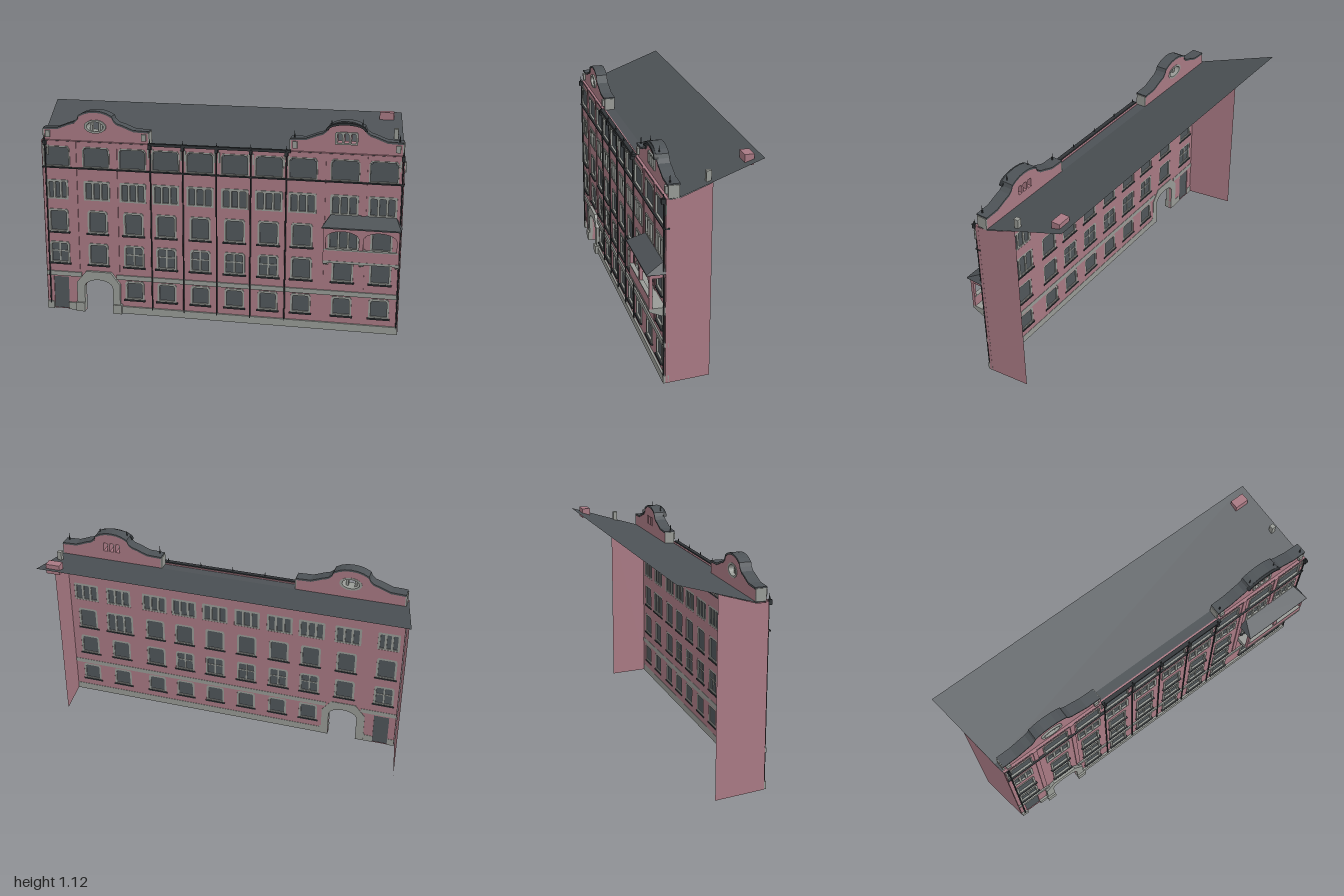
import * as THREE from 'three';
import { ConvexGeometry } from 'three/addons/geometries/ConvexGeometry.js';

const mat = (name, color) => {
  const m = new THREE.MeshStandardMaterial({ color, side: THREE.DoubleSide });
  m.name = name;
  return m;
};

export function createModel() {
  const pink = mat('pink plaster', 0xa87983);
  const grey = mat('grey stone', 0x989b96);
  const glass = mat('dark glass', 0x50565a);
  const slate = mat('slate roof', 0x4d5256);
  const iron = mat('dark iron', 0x303437);

  const model = new THREE.Group();
  model.name = 'townhouse facade';
  const add = (name, geo, material, parent = model) => {
    const m = new THREE.Mesh(geo, material);
    m.name = name;
    parent.add(m);
    return m;
  };
  const box = (name, material, x0, x1, y0, y1, z0, z1, parent) =>
    add(name, new THREE.BoxGeometry(x1 - x0, y1 - y0, z1 - z0)
      .translate((x0 + x1) / 2, (y0 + y1) / 2, (z0 + z1) / 2), material, parent);
  const points = (list) => list.map(([x, y]) => new THREE.Vector2(x, y));
  const slab = (name, material, outline, holes, z0, z1, parent) => {
    const s = new THREE.Shape(points(outline));
    s.holes = holes.map((h) => new THREE.Path(points(h)));
    const g = new THREE.ExtrudeGeometry(s, { depth: z1 - z0, bevelEnabled: false });
    return add(name, g.translate(0, 0, z0), material, parent);
  };
  // Flat polygon in space, drawn as a fan
  const panel = (name, material, pts) => {
    const g = new THREE.BufferGeometry();
    const pos = [];
    for (let i = 1; i < pts.length - 1; i++) pos.push(...pts[0], ...pts[i], ...pts[i + 1]);
    g.setAttribute('position', new THREE.Float32BufferAttribute(pos, 3));
    g.computeVertexNormals();
    return add(name, g, material);
  };
  // Rectangle with cut upper corners
  const opening = (x, w, y0, y1, c) => [
    [x - w / 2, y0], [x + w / 2, y0], [x + w / 2, y1 - c], [x + w / 2 - c * 0.7, y1],
    [x - w / 2 + c * 0.7, y1], [x - w / 2, y1 - c]];
  // Points of a flattened arch, from right to left
  const arch = (cx, cy, rx, ry, n = 12) => Array.from({ length: n + 1 }, (_, i) => {
    const a = (Math.PI * i) / n;
    return [cx + rx * Math.cos(a), cy + ry * Math.sin(a)];
  });
  const oval = (cx, cy, rx, ry, n = 24) => Array.from({ length: n }, (_, i) => {
    const a = (2 * Math.PI * i) / n;
    return [cx + rx * Math.cos(a), cy + ry * Math.sin(a)];
  });

  // Windows: each cuts a hole in the wall and gets a frame, panes and a sill
  const wallHoles = [];
  const addWindow = (x, w, y0, y1, { panes = 1, cross = false, sill = false, f = 0.011, c = 0.012 } = {}) => {
    const g = new THREE.Group();
    g.name = 'window';
    model.add(g);
    wallHoles.push(opening(x, w, y0, y1, c));
    const pw = (w - f * (panes + 1)) / panes;
    const holes = [];
    for (let i = 0; i < panes; i++) {
      const px = x - w / 2 + f + pw / 2 + i * (pw + f);
      holes.push(opening(px, pw, y0 + f * 0.7, y1 - f, c * 0.7));
    }
    slab('windowFrame', grey, opening(x, w, y0, y1, c), holes, 0.181, 0.2, g);
    box('windowPane', glass, x - w / 2 + 0.004, x + w / 2 - 0.004, y0 + 0.004, y1 - c, 0.186, 0.19, g);
    box('windowPaneTop', glass, x - w / 2 + c, x + w / 2 - c, y1 - c, y1 - 0.004, 0.186, 0.19, g);
    if (cross) {
      box('mullion', grey, x - 0.004, x + 0.004, y0, y1 - 0.004, 0.183, 0.194, g);
      const ym = y0 + (y1 - y0) * 0.55;
      box('transom', grey, x - w / 2, x + w / 2, ym - 0.003, ym + 0.003, 0.183, 0.194, g);
    }
    if (sill) box('sill', iron, x - w / 2 - 0.006, x + w / 2 + 0.006, y0 - 0.008, y0, 0.176, 0.207, g);
  };
  const columns = [-0.84, -0.62, -0.42, -0.24, -0.055, 0.13, 0.31, 0.485, 0.7, 0.895];
  columns.forEach((x, i) => {
    const wide = i === 1 || i > 6;
    addWindow(x, 0.15, 0.808, 0.92, { f: 0.007, c: 0.016 });
    addWindow(x, i === 0 ? 0.12 : 0.145, 0.628, 0.735, { panes: 3, f: 0.012, c: 0.006 });
    addWindow(x, i === 8 ? 0.16 : 0.112, 0.445, 0.572, { panes: i === 8 ? 3 : 1, sill: true });
    addWindow(x, 0.112, 0.268, 0.388, { cross: !wide, sill: true });
    if (i > 1) addWindow(x, 0.106, 0.082, 0.186, { sill: true });
  });

  // Front wall with the carriage passage cut out
  const passage = arch(-0.62, 0.14, 0.08, 0.045);
  const door = [[-0.882, 0.002], [-0.797, 0.002], [-0.797, 0.185], [-0.882, 0.185]];
  slab('frontWall', pink, [[-0.92, 0], [-0.92, 0.95], [0.995, 0.95], [0.995, 0],
    [-0.54, 0], ...passage, [-0.7, 0]], [...wallHoles, door], 0.18, 0.195);
  box('door', glass, -0.882, -0.797, 0, 0.185, 0.184, 0.19);
  slab('passageSurround', grey, [[-0.745, 0], [-0.745, 0.165], [-0.69, 0.23], [-0.55, 0.23],
    [-0.5, 0.165], [-0.5, 0], [-0.54, 0], ...passage, [-0.7, 0]], [], 0.177, 0.212);
  for (const [a, b] of [[-0.75, -0.7], [-0.54, -0.49]]) box('passageFoot', grey, a, b, 0, 0.05, 0.178, 0.222);

  // Plinth, string course and cornice
  for (const [a, b] of [[-0.92, -0.882], [-0.797, -0.745], [-0.5, 0.995]])
    box('plinth', grey, a, b, 0, 0.04, 0.178, 0.206);
  for (const [a, b] of [[-0.92, -0.72], [-0.52, 0.995]]) box('stringCourse', grey, a, b, 0.192, 0.217, 0.178, 0.203);
  box('cornice', iron, -0.92, 0.998, 0.8, 0.807, 0.178, 0.208);
  box('gutter', iron, -0.33, 0.42, 0.943, 0.957, 0.19, 0.212);
  for (const x of [-0.74, -0.515, 0.59, 0.8]) box('pilaster', pink, x - 0.012, x + 0.012, 0.235, 0.95, 0.195, 0.2);

  // Downpipes with hopper heads and finials
  for (const x of [-0.9, -0.32, -0.145, 0.035, 0.215, 0.4, 0.988]) {
    const g = new THREE.Group();
    g.name = 'downpipe';
    model.add(g);
    add('pipe', new THREE.CylinderGeometry(0.004, 0.004, 0.905, 8).translate(x, 0.4825, 0.203), iron, g);
    box('hopper', iron, x - 0.008, x + 0.008, 0.925, 0.95, 0.196, 0.217, g);
    add('finial', new THREE.ConeGeometry(0.005, 0.03, 8).translate(x, 0.965, 0.206), iron, g);
    for (const s of [-1, 1]) box('bracket', grey, x + s * 0.012 - 0.004, x + s * 0.012 + 0.004, 0.87, 0.925, 0.195, 0.2, g);
  }

  // Curved gables
  const half = [[0.29, 1.008], [0.21, 1.011], [0.18, 1.022], [0.15, 1.034], [0.12, 1.043],
    [0.1, 1.06], [0.092, 1.08], [0.065, 1.094], [0.035, 1.103]];
  const gable = (cx, k, holes) => {
    const g = new THREE.Group();
    g.name = 'gable';
    model.add(g);
    const top = [...half.map(([x, y]) => [cx - x * k, y]), [cx, 1.106],
      ...half.slice().reverse().map(([x, y]) => [cx + x * k, y])];
    const e = 0.29 * k;
    slab('gableWall', pink, [[cx - e, 0.945], ...top, [cx + e, 0.945]], holes, 0.13, 0.182, g);
    slab('gableCap', slate, [...top.map(([x, y]) => [x, y + 0.008]),
      ...top.slice().reverse().map(([x, y]) => [x, y - 0.002])], [], 0.127, 0.188, g);
    for (const s of [-1, 1]) {
      box('gableEnd', grey, cx + s * e - 0.004, cx + s * e + 0.004, 0.945, 1.01, 0.13, 0.184, g);
      box('gableScroll', grey, cx + s * (e - 0.025) - 0.012, cx + s * (e - 0.025) + 0.012, 0.965, 1.0, 0.18, 0.194, g);
    }
    return g;
  };
  const left = gable(-0.622, 1, [oval(-0.622, 1.03, 0.05, 0.03)]);
  slab('ovalFrame', grey, oval(-0.622, 1.03, 0.06, 0.036), [oval(-0.622, 1.03, 0.046, 0.026)], 0.128, 0.192, left);
  for (const x of [-0.645, -0.599]) box('ovalBar', grey, x - 0.006, x + 0.006, 1.004, 1.056, 0.15, 0.18, left);
  const lights = [0.665, 0.7, 0.735].map((x) => opening(x, 0.024, 1.002, 1.05, 0.006));
  const right = gable(0.7, 0.985, lights);
  slab('gableLightFrame', grey, opening(0.7, 0.116, 0.994, 1.058, 0.008), lights, 0.18, 0.19, right);
  slab('gableHood', iron, [...arch(0.7, 1.066, 0.104, 0.042), ...arch(0.7, 1.066, 0.092, 0.03).reverse()],
    [], 0.18, 0.2, right);
  for (const x of [0.435, 0.622, 0.778, 0.965])
    add('gableFinial', new THREE.ConeGeometry(0.006, 0.06, 8).translate(x, x > 0.6 && x < 0.8 ? 1.095 : 1.03, 0.17), iron, right);

  // Side walls and roof, splayed in plan
  const lx = (z) => -0.922 - 0.16 * (0.195 - z);
  const rx = (z) => 0.996 - 0.106 * (0.195 - z);
  const sideWall = (name, fx, zb) => panel(name, pink, [[fx(0.195), 0, 0.195], [fx(zb), 0, zb],
    [fx(zb), 0.947 + 0.325 * (0.13 - zb), zb], [fx(0.13), 0.946, 0.13], [fx(0.195), 0.944, 0.195]]);
  sideWall('rightSideWall', lx, -0.075);
  sideWall('leftSideWall', rx, -0.03);
  for (const [za, ya, zb, yb] of [[0.198, 0.947, 0.13, 0.949], [0.13, 0.949, -0.283, 1.081]])
    panel('roof', slate, [[lx(za), ya, za], [rx(za), ya, za], [rx(zb), yb, zb], [lx(zb), yb, zb]]);
  box('roofHatch', pink, 0.835, 0.91, 1.04, 1.093, -0.244, -0.198);
  box('chimney', grey, 0.925, 0.947, 0.985, 1.046, -0.03, -0.006);

  // Loggia with two arches and a hipped roof
  const loggia = new THREE.Group();
  loggia.name = 'loggia';
  model.add(loggia);
  const bay = (cx, hw) => [[cx - hw, 0.465], [cx + hw, 0.465], ...arch(cx, 0.525, hw, 0.038)];
  slab('arcade', pink, [[0.605, 0.4], [0.99, 0.4], [0.99, 0.585], [0.605, 0.585]],
    [bay(0.703, 0.084), bay(0.893, 0.084)], 0.257, 0.273, loggia);
  box('parapetRail', grey, 0.61, 0.985, 0.461, 0.467, 0.254, 0.276, loggia);
  box('loggiaFloor', grey, 0.605, 0.99, 0.393, 0.405, 0.19, 0.275, loggia);
  const bracket = new THREE.Shape(points([[0.19, 0.36], [0.215, 0.363], [0.272, 0.388], [0.272, 0.395], [0.19, 0.395]]));
  for (const x of [0.615, 0.798, 0.98]) {
    const g = new THREE.ExtrudeGeometry(bracket, { depth: 0.02, bevelEnabled: false });
    add('loggiaBracket', g.rotateY(-Math.PI / 2).translate(x + 0.01, 0, 0), grey, loggia);
  }
  for (const x of [0.605, 0.976]) box('sideBeam', pink, x, x + 0.014, 0.558, 0.585, 0.193, 0.26, loggia);
  const hip = [[0.598, 0.578, 0.287], [0.998, 0.578, 0.287], [0.598, 0.578, 0.195], [0.998, 0.578, 0.195],
    [0.598, 0.585, 0.287], [0.998, 0.585, 0.287], [0.635, 0.632, 0.195], [0.965, 0.632, 0.195]];
  add('loggiaRoof', new ConvexGeometry(hip.map((p) => new THREE.Vector3(...p))), slate, loggia);

  return model;
}
